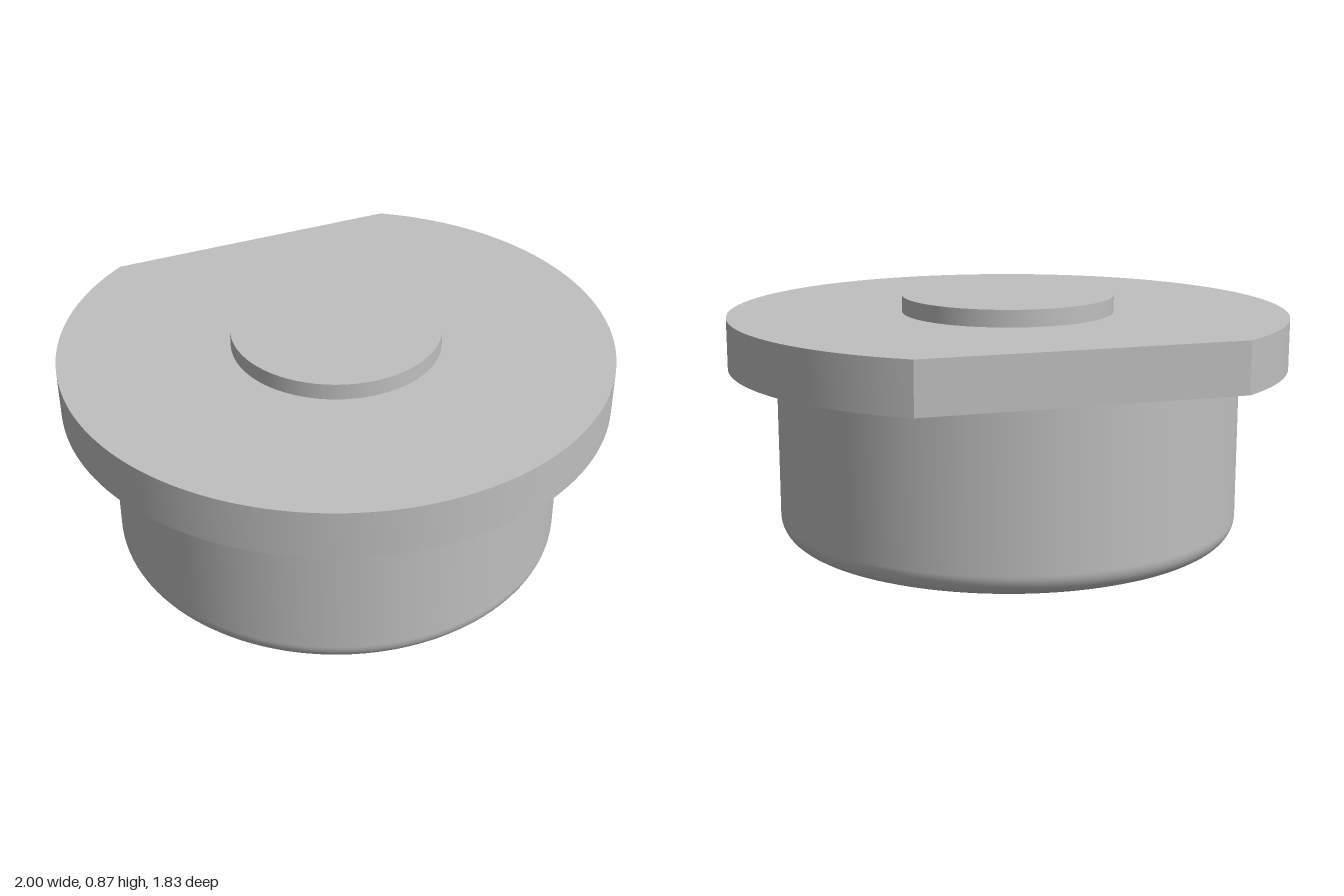
import * as THREE from 'three';
import { toCreasedNormals } from 'three/addons/utils/BufferGeometryUtils.js';

const BODY_R = 0.83, FILLET = 0.08, RECESS = 0.075;
const FLANGE_Y = 0.625, FLANGE_TOP = 0.805, BUTTON_TOP = 0.865;

export function createModel() {
  const model = new THREE.Group();
  model.name = 'flangedPlug';
  const grey = new THREE.MeshStandardMaterial({ color: 0xbfbfbf });
  grey.name = 'plain grey';

  const add = (name, geometry) => {
    const mesh = new THREE.Mesh(geometry, grey);
    mesh.name = name;
    mesh.position.z = -0.085; // shared axis of all round parts
    model.add(mesh);
  };

  // Plan outlines use (x, z); the slab hangs down from its top height
  const slab = (shape, top, depth) => {
    const g = new THREE.ExtrudeGeometry(shape, { depth, bevelEnabled: false, curveSegments: 64 });
    return toCreasedNormals(g.rotateX(Math.PI / 2).translate(0, top, 0), 0.5);
  };

  // Body wall with a rounded lower edge
  const profile = [];
  for (let i = 0; i <= 10; i++) {
    const a = (i / 10) * Math.PI / 2;
    profile.push(new THREE.Vector2(
      BODY_R - FILLET + FILLET * Math.sin(a), FILLET - FILLET * Math.cos(a)));
  }
  profile.push(new THREE.Vector2(BODY_R, FLANGE_Y));
  add('body', new THREE.LatheGeometry(profile, 128));

  // Underside with a triangular recess pointing to the back
  const triangle = [0, 1, 2].map((i) => {
    const a = -Math.PI / 2 + i * 2 * Math.PI / 3;
    return new THREE.Vector2(0.42 * Math.cos(a), 0.42 * Math.sin(a));
  });
  const base = new THREE.Shape().absarc(0, 0, BODY_R - FILLET, 0, Math.PI * 2);
  base.holes.push(new THREE.Path(triangle));
  add('underside', slab(base, RECESS, RECESS));
  add('recessFloor', new THREE.ShapeGeometry(new THREE.Shape(triangle))
    .rotateX(Math.PI / 2).translate(0, RECESS, 0));

  // Round flange with a flat cut at the back, tangent to the body
  const cut = Math.asin(BODY_R);
  const rim = new THREE.Shape().absarc(0, 0, 1, -cut, Math.PI + cut);
  rim.closePath();
  add('flange', slab(rim, FLANGE_TOP, FLANGE_TOP - FLANGE_Y));

  // Raised button on top
  const h = BUTTON_TOP - FLANGE_TOP;
  add('button', new THREE.CylinderGeometry(0.38, 0.38, h, 96)
    .translate(0, FLANGE_TOP + h / 2, 0));

  return model;
}
